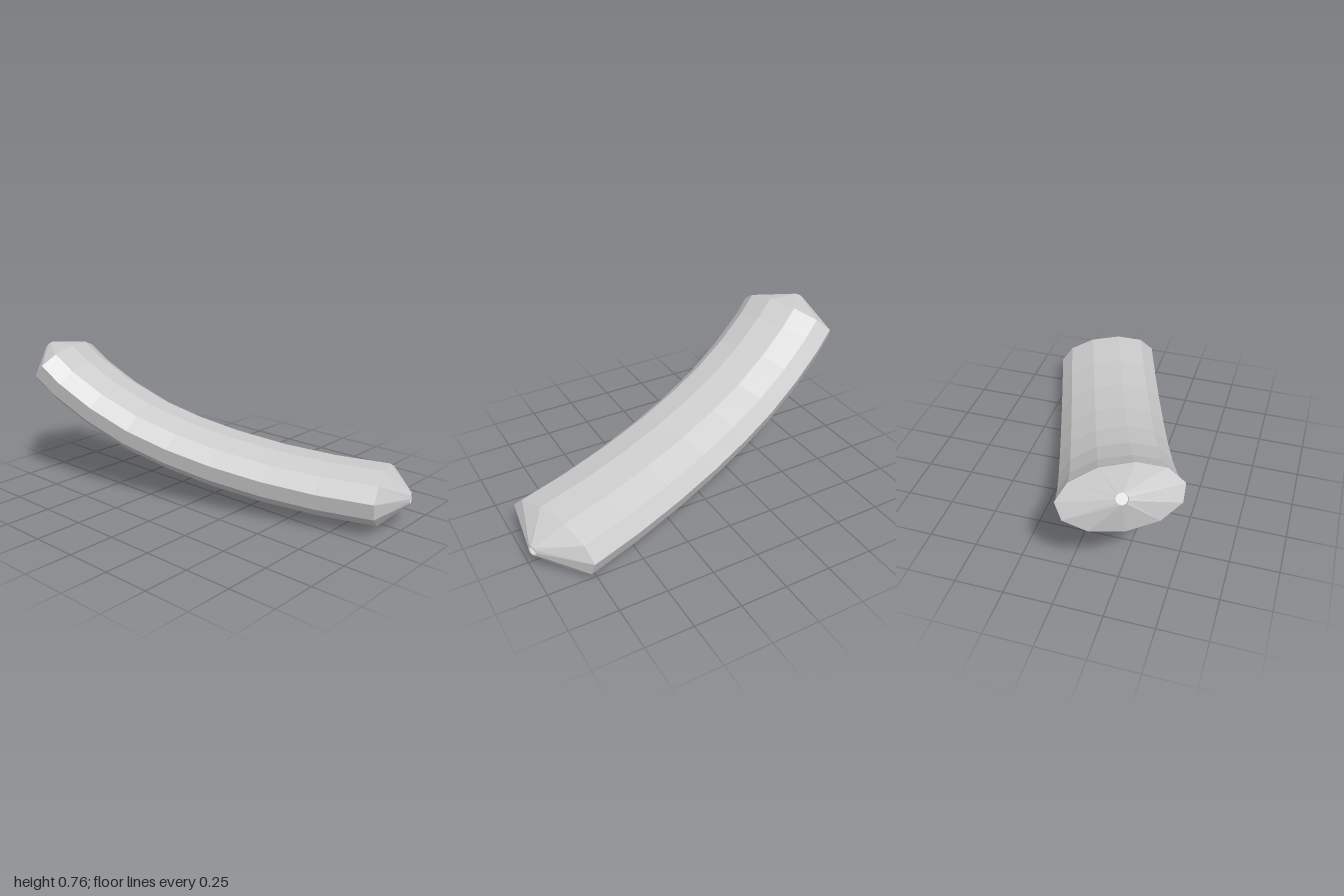
import * as THREE from 'three';

const SIDES = 11;

// centre line of the bent body as [z, y]; x follows z along a straight slanted plan line
const SPINE = [
  [0.875, 0.148], [0.60, 0.153], [0.332, 0.176], [0.067, 0.218], [-0.166, 0.273],
  [-0.385, 0.345], [-0.594, 0.447], [-0.773, 0.564], [-0.874, 0.653],
].map(([z, y]) => new THREE.Vector3(0.293 + (z - 0.875) * 0.336, y, z));

const ACROSS = new THREE.Vector3(0.94, 0, -0.342);

// local directions at spine point i: along the body, and up out of its broad side
function frame(i) {
  const a = SPINE[Math.max(i - 1, 0)];
  const b = SPINE[Math.min(i + 1, SPINE.length - 1)];
  const along = b.clone().sub(a).normalize();
  const up = along.clone().cross(ACROSS).negate().normalize();
  if (up.y < 0) up.negate();
  return { along, up };
}

// closed loop of points from a function giving [across, up] offsets
function ring(centre, up, section) {
  return Array.from({ length: SIDES }, (_, k) => {
    const [u, v] = section((k / SIDES) * Math.PI * 2);
    return centre.clone().addScaledVector(ACROSS, u).addScaledVector(up, v);
  });
}

const oval = (t) => [
  0.285 * Math.cos(t) - 0.029 * Math.sin(t),
  -0.009 * Math.cos(t) + 0.148 * Math.sin(t),
];
const circle = (r) => (t) => [r * Math.cos(t), r * Math.sin(t)];

// skin consecutive rings, ordered from front to back
function loft(name, rings) {
  const positions = rings.flat().flatMap((p) => p.toArray());
  const index = [];
  for (let i = 0; i < rings.length - 1; i++) {
    for (let k = 0; k < SIDES; k++) {
      const n = (k + 1) % SIDES;
      const a = i * SIDES + k, b = i * SIDES + n;
      const c = b + SIDES, d = a + SIDES;
      index.push(a, d, b, b, d, c);
    }
  }
  const geometry = new THREE.BufferGeometry();
  geometry.setAttribute('position', new THREE.Float32BufferAttribute(positions, 3));
  geometry.setIndex(index);
  geometry.computeVertexNormals();
  const material = new THREE.MeshStandardMaterial({
    color: 0xcccccc, flatShading: true, side: THREE.DoubleSide,
  });
  const mesh = new THREE.Mesh(geometry, material);
  mesh.name = name;
  return mesh;
}

// cone-shaped end with a small recessed pit at its tip
function capRings(i, direction) {
  const { along, up } = frame(i);
  const at = (h) => SPINE[i].clone().addScaledVector(along, direction * h);
  return [
    ring(SPINE[i], up, oval),
    ring(at(0.13), up, circle(0.028)),
    ring(at(0.11), up, circle(0.027)),
    ring(at(0.11), up, circle(0.0005)),
  ];
}

export function createModel() {
  const group = new THREE.Group();
  group.name = 'bentBar';
  const last = SPINE.length - 1;
  group.add(
    loft('body', SPINE.map((p, i) => ring(p, frame(i).up, oval))),
    loft('frontCap', capRings(0, -1).reverse()),
    loft('backCap', capRings(last, 1)),
  );
  return group;
}
